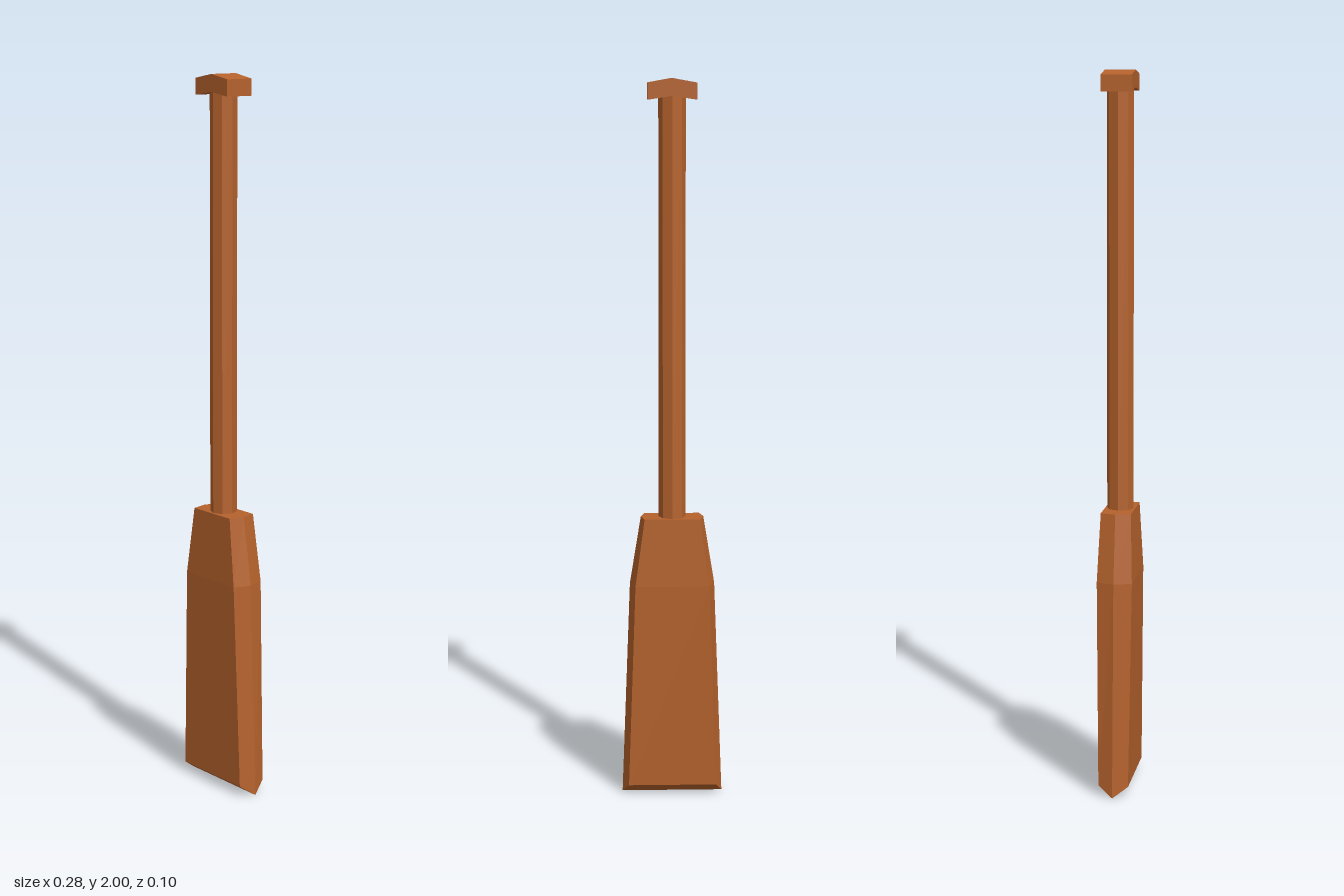
import * as THREE from 'three';

const wood = new THREE.MeshStandardMaterial({ color: 0xb5622c, flatShading: true });

// Hexagonal ring; side corners can sit at a different height from the face corners
function hexRing({ y, sideY = y, side, face, depth }) {
  return [
    [side, sideY, 0], [face, y, -depth], [-face, y, -depth],
    [-side, sideY, 0], [-face, y, depth], [face, y, depth],
  ];
}

// Skin a stack of rings from bottom to top, closing both ends
function loft(rings) {
  const n = rings[0].length;
  const index = [];
  for (let r = 0; r < rings.length - 1; r++) {
    for (let i = 0; i < n; i++) {
      const a = r * n + i, b = r * n + (i + 1) % n;
      index.push(a, b, b + n, a, b + n, a + n);
    }
  }
  const top = (rings.length - 1) * n;
  for (let i = 1; i < n - 1; i++) index.push(top, top + i, top + i + 1);
  const geo = new THREE.BufferGeometry();
  geo.setAttribute('position', new THREE.Float32BufferAttribute(rings.flat(2), 3));
  geo.setIndex(index);
  const flat = geo.toNonIndexed();
  flat.computeVertexNormals();
  return flat;
}

export function createModel() {
  const group = new THREE.Group();
  const add = (name, geometry) => {
    const mesh = new THREE.Mesh(geometry, wood);
    mesh.name = name;
    group.add(mesh);
    return mesh;
  };

  // Blade: bevelled sides, bottom closing to a sharp edge along x
  add('blade', loft([
    [[0.141, 0, 0], [0.141, 0, 0], [-0.141, 0, 0], [-0.141, 0, 0], [-0.141, 0, 0], [0.141, 0, 0]],
    hexRing({ y: 0.03, sideY: 0, side: 0.141, face: 0.123, depth: 0.042 }),
    hexRing({ y: 0.61, side: 0.118, face: 0.103, depth: 0.049 }),
    hexRing({ y: 0.8, side: 0.087, face: 0.077, depth: 0.042 }),
  ]));

  // Shaft: eight-sided pole
  add('shaft', new THREE.CylinderGeometry(0.037, 0.037, 1.17, 8)).position.y = 1.375;

  // Grip: slightly arched crossbar
  const arch = new THREE.Shape([
    [-0.066, 1.943], [0, 1.953], [0.066, 1.943],
    [0.066, 1.988], [0, 2], [-0.066, 1.988],
  ].map(([x, y]) => new THREE.Vector2(x, y)));
  add('grip', new THREE.ExtrudeGeometry(arch, { depth: 0.084, bevelEnabled: false }))
    .position.z = -0.042;

  return group;
}
